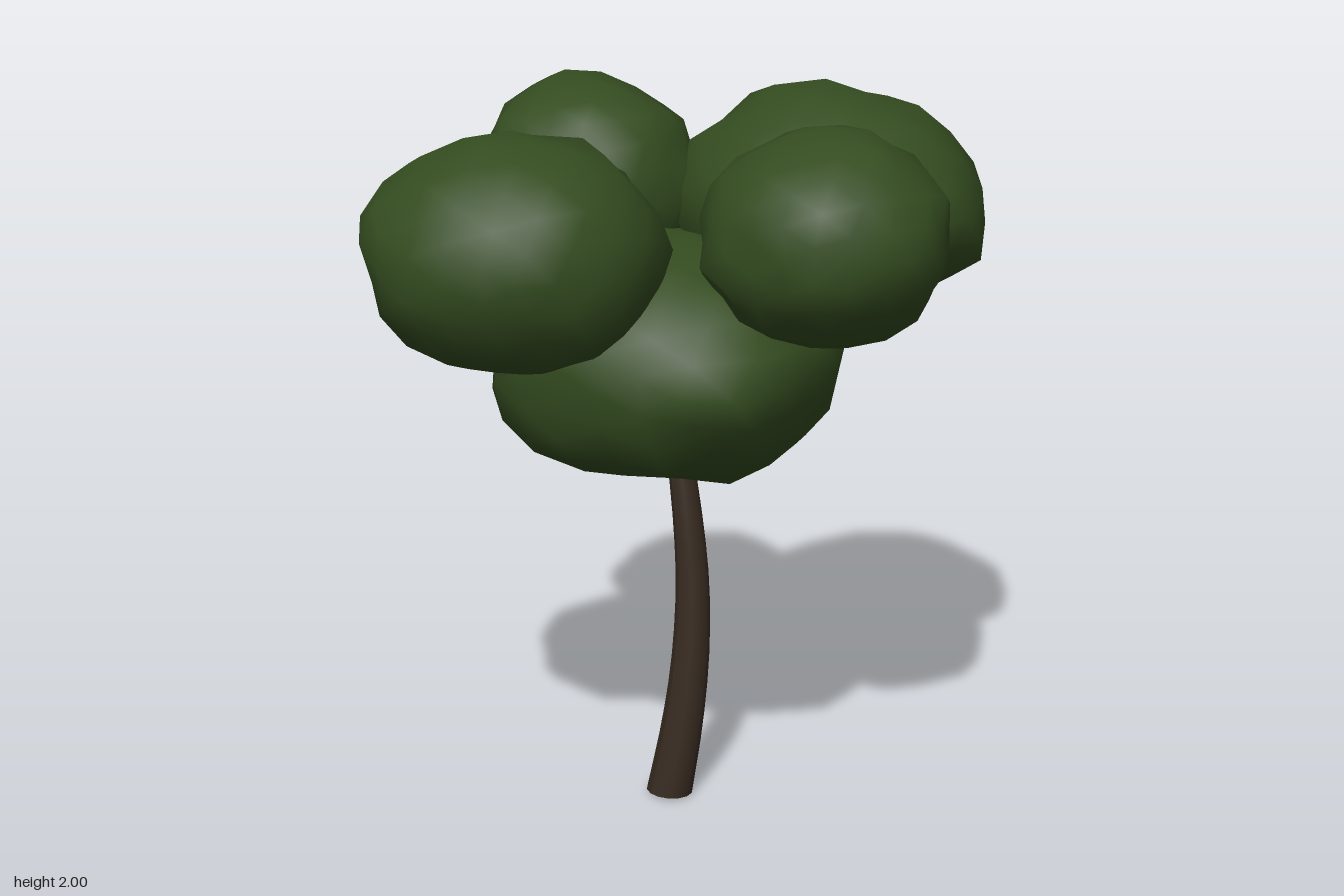
import * as THREE from 'three';
import { mergeVertices } from 'three/addons/utils/BufferGeometryUtils.js';

const leafMat = new THREE.MeshStandardMaterial({ color: 0x344c20 });
leafMat.name = 'leaf green';
const barkMat = new THREE.MeshStandardMaterial({ color: 0x362a20 });
barkMat.name = 'bark brown';

function seeded(seed) {
  let s = seed;
  return () => (s = (s * 16807) % 2147483647) / 2147483647;
}

// Lumpy ellipsoid; each tip pulls the surface around it out to a given point
function foliage(name, center, radii, seed, tips, boxy = 0) {
  const ico = new THREE.IcosahedronGeometry(1, 3);
  ico.deleteAttribute('uv');
  ico.deleteAttribute('normal');
  const geo = mergeVertices(ico, 1e-4);
  const pos = geo.attributes.position;
  const rand = seeded(seed);
  const c = new THREE.Vector3(...center), r = new THREE.Vector3(...radii);
  const v = new THREE.Vector3(), d = new THREE.Vector3();
  const pulls = tips.map((t) => {
    const q = new THREE.Vector3(...t).sub(c).divide(r);
    return { dir: q.clone().normalize(), len: q.length() };
  });
  for (let i = 0; i < pos.count; i++) {
    v.fromBufferAttribute(pos, i);
    d.copy(v);
    let k = 1 + boxy * 4 * v.y * v.y * (1 - v.y * v.y);
    for (const p of pulls) {
      const w = Math.max(0, 1 - d.angleTo(p.dir) / 0.42);
      k += (p.len - k) * w;
    }
    k += 0.09 * (rand() - 0.5);
    v.multiplyScalar(k).multiply(r).add(c);
    pos.setXYZ(i, v.x, v.y, v.z);
  }
  geo.computeVertexNormals();
  const mesh = new THREE.Mesh(geo, leafMat);
  mesh.name = name;
  return mesh;
}

// Curved trunk whose rings shrink towards the top, closed at the foot
function trunk() {
  const path = new THREE.CatmullRomCurve3([
    [-0.035, 0.005, 0.035], [-0.024, 0.2, 0], [-0.022, 0.4, -0.028], [-0.033, 0.62, -0.044],
    [-0.056, 0.82, -0.043], [-0.088, 1.0, -0.038], [-0.11, 1.15, -0.03],
  ].map((p) => new THREE.Vector3(...p)));
  const geo = new THREE.CylinderGeometry(1, 1, 1, 14, 14);
  const pos = geo.attributes.position;
  for (let i = 0; i < pos.count; i++) {
    const t = pos.getY(i) + 0.5;
    const p = path.getPointAt(t);
    const rad = 0.066 - 0.034 * t;
    const x = pos.getX(i) * rad, z = pos.getZ(i) * rad;
    // the foot leans slightly with the trunk
    pos.setXYZ(i, p.x + x, Math.max(0, p.y + z * 0.08 * (1 - t)), p.z + z);
  }
  geo.computeVertexNormals();
  const mesh = new THREE.Mesh(geo, barkMat);
  mesh.name = 'trunk';
  return mesh;
}

export function createModel() {
  const tree = new THREE.Group();
  tree.name = 'tree';
  tree.add(
    trunk(),
    foliage('lowerCrown', [-0.03, 1.32, 0.04], [0.46, 0.31, 0.46], 11, [
      [0.52, 1.33, 0.16], [0.41, 1.13, 0.04], [0.21, 1.01, 0.05], [-0.12, 1.01, 0.05],
      [-0.58, 1.15, 0.06], [-0.54, 1.33, 0.02], [-0.32, 1.04, 0.05], [-0.08, 1.08, 0.44],
      [0, 1.3, 0.52], [0.05, 1.09, -0.33], [0, 1.3, -0.43],
    ], 0.08),
    foliage('frontCrown', [-0.04, 1.64, 0.5], [0.39, 0.3, 0.38], 23, [
      [-0.45, 1.64, 0.61], [0, 1.71, 0.88], [-0.02, 1.94, 0.58], [0.35, 1.65, 0.43],
      [0.27, 1.43, 0.5], [0.05, 1.34, 0.45], [-0.16, 1.34, 0.5], [-0.1, 1.65, 0.11],
      [0.25, 1.65, 0.75],
    ]),
    foliage('rightCrown', [-0.43, 1.69, 0.03], [0.33, 0.3, 0.31], 37, [
      [-0.57, 2.0, -0.04], [-0.75, 1.69, 0.1], [-0.52, 1.39, 0.06], [-0.62, 1.62, 0.31],
      [-0.35, 1.65, 0.35], [-0.71, 1.88, 0.03], [-0.66, 1.46, 0.03], [-0.42, 1.92, 0.25],
    ]),
    foliage('leftCrown', [0.43, 1.68, -0.12], [0.31, 0.27, 0.32], 41, [
      [0.75, 1.75, -0.2], [0.74, 1.6, -0.1], [0.58, 1.94, -0.15], [0.55, 1.43, -0.12],
      [0.35, 1.65, 0.2], [0.5, 1.7, -0.44], [0.55, 1.65, 0.17], [0.4, 1.94, -0.22],
    ]),
    foliage('backCrown', [0, 1.67, -0.46], [0.43, 0.3, 0.41], 59, [
      [0.09, 1.57, -0.88], [0.49, 1.66, -0.45], [-0.07, 1.99, -0.38], [0.16, 1.93, -0.52],
      [-0.43, 1.62, -0.61], [-0.46, 1.6, -0.3], [0.38, 1.52, -0.7], [-0.17, 1.72, -0.86],
      [0, 1.38, -0.6], [0, 1.43, -0.77], [-0.37, 1.65, -0.73],
    ]),
  );
  return tree;
}
